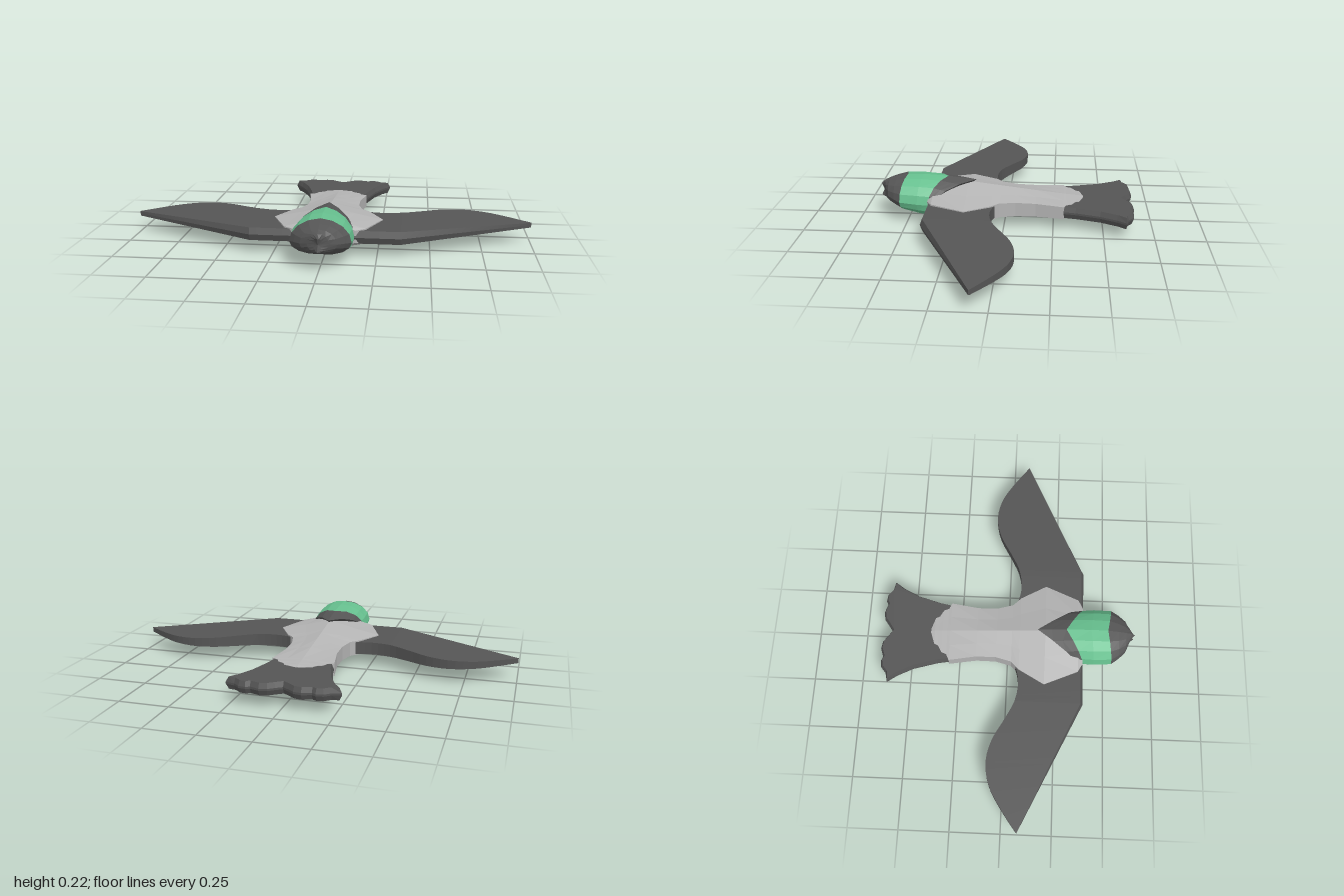
import * as THREE from 'three';

const mat = (color) => new THREE.MeshStandardMaterial({ color, flatShading: true });
const DARK = mat(0x555555), LIGHT = mat(0xb4b4b4), GREEN = mat(0x66bf8e);

// Skin a closed solid over equal-length rings of [x, y, z], capped at both ends.
function loft(name, rings, material) {
  const n = rings[0].length;
  const pos = rings.flat(2), idx = [];
  for (let r = 0; r < rings.length - 1; r++) {
    for (let i = 0; i < n; i++) {
      const a = r * n + i, b = r * n + (i + 1) % n;
      idx.push(a, b, b + n, a, b + n, a + n);
    }
  }
  [0, rings.length - 1].forEach((r) => {
    const c = pos.length / 3;
    for (let k = 0; k < 3; k++) pos.push(rings[r].reduce((s, p) => s + p[k], 0) / n);
    for (let i = 0; i < n; i++) {
      const a = r * n + i, b = r * n + (i + 1) % n;
      idx.push(...(r === 0 ? [c, b, a] : [c, a, b]));
    }
  });
  // Turn the faces outward if the enclosed volume comes out negative.
  const v = (i) => new THREE.Vector3().fromArray(pos, i * 3);
  let volume = 0;
  for (let i = 0; i < idx.length; i += 3) volume += v(idx[i]).dot(v(idx[i + 1]).cross(v(idx[i + 2])));
  if (volume < 0) idx.reverse();
  const geo = new THREE.BufferGeometry();
  geo.setAttribute('position', new THREE.Float32BufferAttribute(pos, 3));
  geo.setIndex(idx);
  const flat = geo.toNonIndexed();
  flat.computeVertexNormals();
  const mesh = new THREE.Mesh(flat, material);
  mesh.name = name;
  return mesh;
}

// Body section: ridged top and belly that flare out to a thin side edge.
function bodyRing([z, w, yb, eb, et, yt]) {
  const half = [[0.5, et + 0.45 * (yt - et)], [1, et], [1, eb], [0.5, eb + 0.5 * (yb - eb)]];
  return [
    [0, yt, z], ...half.map(([x, y]) => [x * w, y, z]),
    [0, yb, z], ...half.reverse().map(([x, y]) => [-x * w, y, z]),
  ];
}

// Head section: rounded ring whose z differs at its top, sides and bottom.
function headRing([zTop, zSide, zBottom, w, yb, ym, yt]) {
  return Array.from({ length: 16 }, (_, i) => {
    const a = (i / 16) * Math.PI * 2, s = Math.sin(a), c = Math.cos(a);
    const zEnd = c > 0 ? zTop : zBottom;
    return [w * s, ym + c * (c > 0 ? yt - ym : ym - yb), zEnd + (zSide - zEnd) * Math.abs(s)];
  });
}

// Wing: straight leading edge, wavy trailing edge, thinning to a pointed tip.
function wing(side) {
  const trail = new THREE.SplineCurve([
    [0.1, -0.01], [0.17, 0.04], [0.26, 0.06], [0.36, 0.045], [0.46, -0.005], [0.56, -0.06],
    [0.67, -0.085], [0.78, -0.065], [0.88, -0.01], [1, 0.076],
  ].map(([x, z]) => new THREE.Vector2(x, z))).getPoints(27);
  const rings = trail.map(({ x, y: zt }) => {
    const t = Math.max(0, (x - 0.36) / 0.64);
    const zl = 0.388 - 0.308 * t, bevel = 0.012 * (1 - t);
    const yt = 0.127 - 0.023 * t, yb = 0.064 + 0.016 * t;
    return [[zl, (yt + yb) / 2], [zl - bevel, yt], [zt, yt], [zt, yb], [zl - bevel, yb]]
      .map(([z, y]) => [side * x, y, z]);
  });
  return loft(side > 0 ? 'leftWing' : 'rightWing', rings, DARK);
}

// Tail: flared fan with a scalloped, notched end and bevelled rim.
function tail() {
  const half = [[0.15, -0.28], [0.165, -0.36], [0.2, -0.48], [0.24, -0.56], [0.275, -0.61], [0.23, -0.62],
    [0.2, -0.645], [0.165, -0.65], [0.145, -0.64], [0.1, -0.655], [0.06, -0.648], [0.03, -0.625]];
  const outline = [...half, [0, -0.605], ...half.map(([x, z]) => [-x, z]).reverse()];
  const shape = new THREE.Shape(outline.map(([x, z]) => new THREE.Vector2(x, -z)));
  const geo = new THREE.ExtrudeGeometry(shape, {
    depth: 0.01, bevelThickness: 0.025, bevelSize: 0.01, bevelOffset: -0.01, bevelSegments: 1,
  });
  geo.rotateX(-Math.PI / 2).translate(0, 0.085, 0);
  const mesh = new THREE.Mesh(geo, DARK);
  mesh.name = 'tail';
  return mesh;
}

export function createModel() {
  const group = new THREE.Group();
  group.name = 'bird';

  // Body, from the neck back to the ragged patch over the tail
  group.add(loft('body', [
    [0.385, 0.15, 0.03, 0.07, 0.13, 0.18],
    [0.36, 0.195, 0.022, 0.061, 0.134, 0.19],
    [0.19, 0.268, 0.012, 0.06, 0.131, 0.192],
    [0.06, 0.195, 0.033, 0.059, 0.133, 0.176],
    [0.02, 0.155, 0.038, 0.058, 0.133, 0.171],
    [-0.06, 0.134, 0.042, 0.058, 0.13, 0.162],
    [-0.16, 0.133, 0.047, 0.058, 0.127, 0.15],
    [-0.3, 0.156, 0.054, 0.058, 0.122, 0.135],
    [-0.315, 0.125, 0.055, 0.058, 0.122, 0.133],
    [-0.34, 0.115, 0.056, 0.058, 0.122, 0.131],
    [-0.36, 0.08, 0.057, 0.058, 0.122, 0.129],
    [-0.38, 0.07, 0.057, 0.058, 0.122, 0.127],
    [-0.4, 0.01, 0.058, 0.059, 0.121, 0.123],
  ].map(bodyRing), LIGHT));

  // Collar, head band and face share their boundary rings
  const neck = [0.295, 0.385, 0.335, 0.142, 0.004, 0.105, 0.217];
  const brow = [0.505, 0.53, 0.5, 0.143, 0.048, 0.118, 0.222];
  group.add(loft('collar', [
    [0.15, 0.36, 0.19, 0.147, 0.004, 0.1, 0.201],
    [0.22, 0.37, 0.25, 0.146, 0, 0.102, 0.208],
    neck,
  ].map(headRing), DARK));
  group.add(loft('headBand', [
    neck,
    [0.42, 0.44, 0.42, 0.147, 0.022, 0.11, 0.224],
    brow,
  ].map(headRing), GREEN));
  group.add(loft('face', [
    brow,
    [0.56, 0.565, 0.55, 0.118, 0.066, 0.125, 0.21],
    [0.6, 0.6, 0.59, 0.085, 0.082, 0.13, 0.198],
    [0.63, 0.615, 0.625, 0.05, 0.095, 0.135, 0.186],
    [0.648, 0.625, 0.648, 0.018, 0.105, 0.137, 0.168],
  ].map(headRing), DARK));

  group.add(wing(1), wing(-1), tail());
  return group;
}
